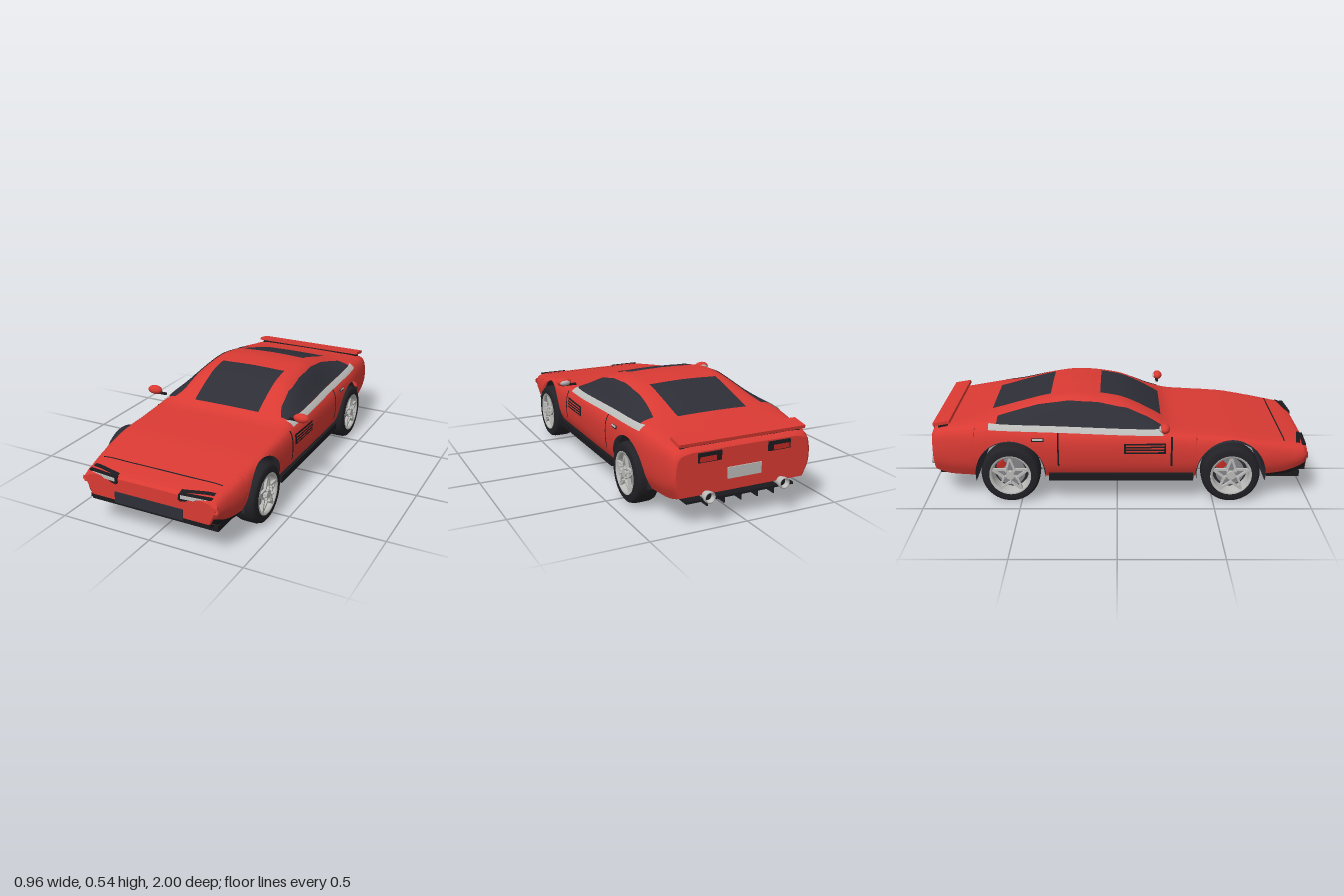
import * as THREE from 'three';

const mat = (name, color) => new THREE.MeshStandardMaterial({ name, color, side: THREE.DoubleSide });
const M = {
  red: mat('body red', 0xd93a33), glass: mat('dark glass', 0x2e2e37), black: mat('black trim', 0x1b1b1f),
  liner: mat('liner grey', 0x2a2a32), tyre: mat('tyre rubber', 0x222227), silver: mat('silver', 0xbcbcba),
  disc: mat('brake steel', 0x85858a), lens: mat('signal red', 0xc02a24),
};

// Body stations: z, roof height, roof corner x/y, waist x/y, widest x/y
const ROWS = [
  [0.99, .28, .28, .277, .335, .265, .352, .235], [.975, .29, .31, .287, .35, .277, .365, .24],
  [.9, .305, .32, .303, .362, .29, .378, .25], [.76, .328, .33, .325, .38, .315, .4, .27],
  [.6, .35, .34, .347, .387, .339, .405, .29], [.4, .367, .34, .362, .386, .352, .405, .31],
  [.27, .38, .33, .376, .385, .362, .406, .32], [.2, .42, .27, .412, .365, .385, .406, .33],
  [.1, .475, .26, .46, .36, .4, .406, .345], [0, .512, .255, .497, .355, .41, .407, .35],
  [-.2, .535, .255, .52, .35, .42, .407, .35], [-.35, .522, .255, .505, .352, .42, .406, .355],
  [-.5, .485, .265, .468, .36, .418, .406, .36], [-.65, .44, .29, .43, .368, .41, .402, .36],
  [-.8, .408, .32, .4, .365, .385, .386, .34], [-.9, .39, .32, .384, .356, .37, .372, .32],
  [-.95, .375, .3, .372, .345, .357, .362, .31], [-.96, .365, .29, .36, .335, .345, .35, .3],
];
const ARCHES = [.588, -.553], AXLE = .157, R = .18;
const bottomAt = z => .13 + .035 * Math.max(0, Math.min(1, (Math.abs(z) - .84) / .14)) ** 2;
const edgeAt = z => {
  for (const c of ARCHES) if (Math.abs(z - c) < R) return AXLE + Math.sqrt(R * R - (z - c) ** 2);
  return bottomAt(z);
};

// Smooth interpolation between stations
function station(z) {
  let i = 0;
  while (i < ROWS.length - 2 && z < ROWS[i + 1][0]) i++;
  const a = ROWS[i], b = ROWS[i + 1], p = ROWS[Math.max(0, i - 1)], n = ROWS[Math.min(ROWS.length - 1, i + 2)];
  const h = b[0] - a[0], t = Math.max(0, Math.min(1, (z - a[0]) / h));
  return a.map((v, k) => {
    const m0 = (b[k] - p[k]) / (b[0] - p[0]) * h, m1 = (n[k] - a[k]) / (n[0] - a[0]) * h;
    return (2 * t ** 3 - 3 * t * t + 1) * v + (t ** 3 - 2 * t * t + t) * m0 + (3 * t * t - 2 * t ** 3) * b[k] + (t ** 3 - t * t) * m1;
  });
}
// Half cross-section from roof centre down to the sill
function section(z) {
  const [, T, x2, y2, x3, y3, w, yw] = station(z), b = bottomAt(z);
  const pts = [[0, T], [x2 * .55, T - (T - y2) * .25], [x2, y2], [x3, y3], [w, yw], [w, b + .07], [w - .03, b]];
  return new THREE.CatmullRomCurve3(pts.map(p => new THREE.Vector3(p[0], p[1], 0))).getPoints(72);
}
function lookup(z, key, value) {
  const s = section(z), other = key === 'x' ? 'y' : 'x';
  for (let i = 0; i < s.length - 1; i++) {
    const p = s[i], q = s[i + 1];
    if ((p[key] - value) * (q[key] - value) <= 0 && p[key] !== q[key])
      return p[other] + (q[other] - p[other]) * (value - p[key]) / (q[key] - p[key]);
  }
  return key === 'x' ? s[0].y : s[s.length - 1].x;
}
const range = (a, b, n) => Array.from({ length: n + 1 }, (_, i) => a + (b - a) * i / n);
const piecewise = (pts, z) => {
  let i = 0;
  while (i < pts.length - 2 && z < pts[i + 1][0]) i++;
  const [a, b] = [pts[i], pts[i + 1]];
  return a[1] + (b[1] - a[1]) * (z - a[0]) / (b[0] - a[0]);
};

// Grid surface from a list of rows of points
function grid(rows) {
  const n = rows[0].length, idx = [], g = new THREE.BufferGeometry();
  for (let i = 0; i < rows.length - 1; i++) for (let j = 0; j < n - 1; j++) {
    const a = i * n + j;
    idx.push(a, a + 1, a + n, a + 1, a + n + 1, a + n);
  }
  g.setAttribute('position', new THREE.Float32BufferAttribute(rows.flat(2), 3));
  g.setIndex(idx);
  g.computeVertexNormals();
  return g;
}

export function createModel() {
  const car = new THREE.Group();
  car.name = 'sportsCar';
  const add = (name, geo, m, x = 0, y = 0, z = 0, parent = car) => {
    const mesh = new THREE.Mesh(geo, m);
    mesh.name = name;
    mesh.position.set(x, y, z);
    parent.add(mesh);
    return mesh;
  };
  const box = (name, m, w, h, d, x, y, z, parent) => add(name, new THREE.BoxGeometry(w, h, d), m, x, y, z, parent);
  const topPatch = (name, m, z0, z1, x0, x1, skew = () => 0, off = .004) => add(name, grid(range(z0, z1, 16).map(z =>
    range(x0, x1, 16).map(x => [x, lookup(z + skew(x), 'x', Math.abs(x)) + off, z + skew(x)]))), m);
  const sidePatch = (name, m, s, z0, z1, lo, hi, off = .004, nz = 24) => add(name, grid(range(z0, z1, nz).map(z =>
    range(lo(z), hi(z), 8).map(y => [s * (lookup(z, 'y', y) + off), y + off * .5, z]))), m);

  // Body shell, trimmed along the wheel arches
  const zs = range(.99, -.96, 80).concat([.975, -.95]);
  for (const c of ARCHES) {
    for (const a of range(0, Math.PI, 24)) zs.push(c + (R - .0005) * Math.cos(a));
    zs.push(c + R + .001, c - R - .001);
  }
  zs.sort((a, b) => b - a);
  const N = 26;
  const rings = zs.map(z => {
    const yb = edgeAt(z), full = section(z), pts = full.filter(p => p.y > yb);
    pts.push(new THREE.Vector3(lookup(z, 'y', yb), yb, 0));
    const len = [0];
    for (let i = 1; i < pts.length; i++) len.push(len[i - 1] + pts[i].distanceTo(pts[i - 1]));
    const half = range(0, len[len.length - 1], N).map(d => {
      let i = 1;
      while (i < pts.length - 1 && len[i] < d) i++;
      return pts[i - 1].clone().lerp(pts[i], (d - len[i - 1]) / (len[i] - len[i - 1] || 1));
    });
    return [...half.slice(1).reverse().map(p => [-p.x, p.y, z]), ...half.map(p => [p.x, p.y, z])];
  });
  add('bodyShell', grid(rings), M.red);
  for (const [name, ring] of [['noseFace', rings[0]], ['tailFace', rings[rings.length - 1]]]) {
    const shape = new THREE.Shape(ring.map(p => new THREE.Vector2(p[0], p[1])));
    add(name, new THREE.ShapeGeometry(shape), M.red, 0, 0, ring[0][2]);
  }

  // Underside and wheel tunnels
  for (const [a, b] of [[.99, .768], [.408, -.373], [-.733, -.96]])
    add('floor', grid(range(a, b, 8).map(z => range(-1, 1, 4).map(v => [v * lookup(z, 'y', bottomAt(z)), bottomAt(z), z]))), M.black);
  for (const c of ARCHES) {
    const g = new THREE.CylinderGeometry(R - .001, R - .001, .805, 40, 1, true, -.2, Math.PI + .4).rotateZ(Math.PI / 2);
    add('archLiner', g, M.liner, -.0175, AXLE, c);
  }

  // Glass and panel seams on top
  topPatch('windscreen', M.glass, .23, -.09, -.19, .19);
  topPatch('rearWindow', M.glass, -.35, -.66, -.19, .19);
  topPatch('bonnetSeam', M.black, .873, .866, -.33, .33, undefined, .002);

  const upper = [[.23, .392], [.15, .43], [.05, .472], [-.1, .502], [-.25, .51], [-.4, .49], [-.62, .435]];
  const lower = z => .385 + (.23 - z) * .035;
  for (const s of [1, -1]) {
    // Side glass, waist stripe and door details
    sidePatch('sideWindow', M.glass, s, .225, -.62, lower, z => Math.max(lower(z) + .001, piecewise(upper, z)));
    sidePatch('waistStripe', M.silver, s, .235, -.66, z => lower(z) - .026, lower, .005);
    sidePatch('frontDoorSeam', M.black, s, .284, .274, () => .2, () => .355, .003, 2);
    sidePatch('rearDoorSeam', M.black, s, -.299, -.307, () => .2, () => .378, .003, 2);
    sidePatch('sideVent', M.black, s, .25, .035, () => .27, () => .325, .004);
    for (const y of [.279, .294, .309]) sidePatch('ventSlat', M.red, s, .24, .045, () => y, () => y + .007, .007);
    sidePatch('handleRecess', M.black, s, -.375, -.44, () => .336, () => .352, .003, 4);
    sidePatch('doorHandle', M.silver, s, -.38, -.435, () => .341, () => .351, .006, 4);
    sidePatch('frontLipSide', M.black, s, .985, .772, bottomAt, z => bottomAt(z) + .012 + .02 * Math.max(0, (z - .77) / .22), .003);
    box('sideSkirt', M.black, .03, .035, .75, s * .392, .135, .02);

    // Mirror
    box('mirrorStalk', M.black, .06, .01, .015, s * .4, .404, .235);
    add('mirrorShell', new THREE.SphereGeometry(1, 24, 16).scale(.042, .024, .026), M.red, s * .438, .42, .24);
    add('mirrorGlass', new THREE.SphereGeometry(1, 24, 16).scale(.035, .019, .023), M.silver, s * .438, .419, .234);

    // Headlight: dark surround, pale lens and a slanted lid
    const lamp = (name, m, pts, z) => {
      const g = new THREE.ExtrudeGeometry(new THREE.Shape(pts.map(p => new THREE.Vector2(s * p[0], p[1]))), { depth: .02, bevelEnabled: false });
      const p = g.attributes.position;
      for (let i = 0; i < p.count; i++) p.setZ(i, p.getZ(i) - (Math.abs(p.getX(i)) - .17) * .08);
      g.computeVertexNormals();
      add(name, g, m, 0, 0, z);
    };
    lamp('headlightSurround', M.black, [[.333, .293], [.17, .289], [.165, .26], [.175, .252], [.2, .255], [.235, .272], [.33, .286]], .976);
    lamp('headlightLens', M.silver, [[.315, .286], [.18, .285], [.18, .267], [.245, .268], [.26, .277]], .979);
    topPatch('headlightLid', M.black, .985, .963, s * .17, s * .33, x => -(Math.abs(x) - .17) * .2, .005);

    // Tail light, exhaust
    box('tailLightHousing', M.black, .12, .045, .014, s * .185, .335, -.961);
    box('tailLightLens', M.lens, .085, .024, .006, s * .195, .328, -.967);
    const pipe = [[.02, -.03], [.022, .02], [.028, .045], [.028, .06], [.022, .06], [.018, .02]];
    add('exhaustPipe', new THREE.LatheGeometry(pipe.map(p => new THREE.Vector2(...p)), 28).rotateX(-Math.PI / 2), M.silver, s * .2, .152, -.94);
    add('exhaustCore', new THREE.CircleGeometry(.021, 24).rotateY(Math.PI), M.black, s * .2, .152, -.975);
  }

  // Nose and tail fittings
  box('grille', M.glass, .375, .057, .012, 0, .182, .988);
  box('frontLip', M.black, .66, .02, .03, 0, .158, .973);
  box('chin', M.black, .7, .03, .17, 0, .132, .87);
  box('splitter', M.black, .66, .013, .09, 0, .112, .862);
  box('diffuser', M.black, .58, .012, .13, 0, .118, -.875);
  for (const x of range(-.18, .18, 4)) box('diffuserFin', M.black, .006, .04, .13, x, .105, -.875);
  box('numberPlate', M.silver, .18, .055, .008, 0, .24, -.962);
  box('spoiler', M.red, .67, .016, .088, 0, .406, -.909).rotation.x = -.17;
  box('spoilerBase', M.black, .64, .02, .05, 0, .388, -.905);

  // Wheels
  const lathe = pts => new THREE.LatheGeometry(pts.map(p => new THREE.Vector2(...p)), 48).rotateZ(-Math.PI / 2);
  const disc = (r, h, n = 40) => new THREE.CylinderGeometry(r, r, h, n).rotateZ(Math.PI / 2);
  for (const c of ARCHES) for (const s of [1, -1]) {
    const w = new THREE.Group();
    w.name = 'wheel';
    w.position.set(s * .362, .153, c);
    if (s < 0) w.rotation.y = Math.PI;
    car.add(w);
    add('tyre', lathe([[.105, -.06], [.135, -.061], [.147, -.052], [.152, -.035], [.153, 0], [.152, .035], [.147, .052], [.135, .061], [.105, .06]]), M.tyre, 0, 0, 0, w);
    add('rim', lathe([[.108, -.062], [.094, -.06], [.09, 0], [.093, .05], [.097, .062], [.108, .062]]), M.silver, 0, 0, 0, w);
    add('wheelBack', disc(.093, .006), M.liner, -.012, 0, 0, w);
    add('brakeDisc', disc(.074, .012), M.disc, .01, 0, 0, w);
    add('innerHub', disc(.045, .03), M.disc, -.03, 0, 0, w);
    box('caliper', M.lens, .06, .045, .03, .004, .042, -s * .048, w).rotation.x = s * .8;
    add('hub', disc(.022, .022), M.silver, .055, 0, 0, w);
    for (let i = 0; i < 5; i++) {
      const a = Math.PI / 2 + i * Math.PI * .4;
      for (const d of [-1, 1]) {
        // Each star point is a pair of struts meeting at the rim
        const b = a + d * Math.PI / 5;
        const p = [Math.sin(a) * .097, Math.cos(a) * .097], q = [Math.sin(b) * .038, Math.cos(b) * .038];
        const strut = box('spoke', M.silver, .014, Math.hypot(p[0] - q[0], p[1] - q[1]), .011, .054, (p[0] + q[0]) / 2, (p[1] + q[1]) / 2, w);
        strut.rotation.x = Math.atan2(p[1] - q[1], p[0] - q[0]);
      }
      const n = a + Math.PI / 5;
      box('hubArm', M.silver, .012, .04, .008, .053, Math.sin(n) * .02, Math.cos(n) * .02, w).rotation.x = Math.PI / 2 - n + Math.PI / 2 - Math.PI / 2 ;
      add('wheelNut', disc(.006, .02, 12), M.silver, .064, Math.sin(n) * .036, Math.cos(n) * .036, w);
    }
  }
  return car;
}
